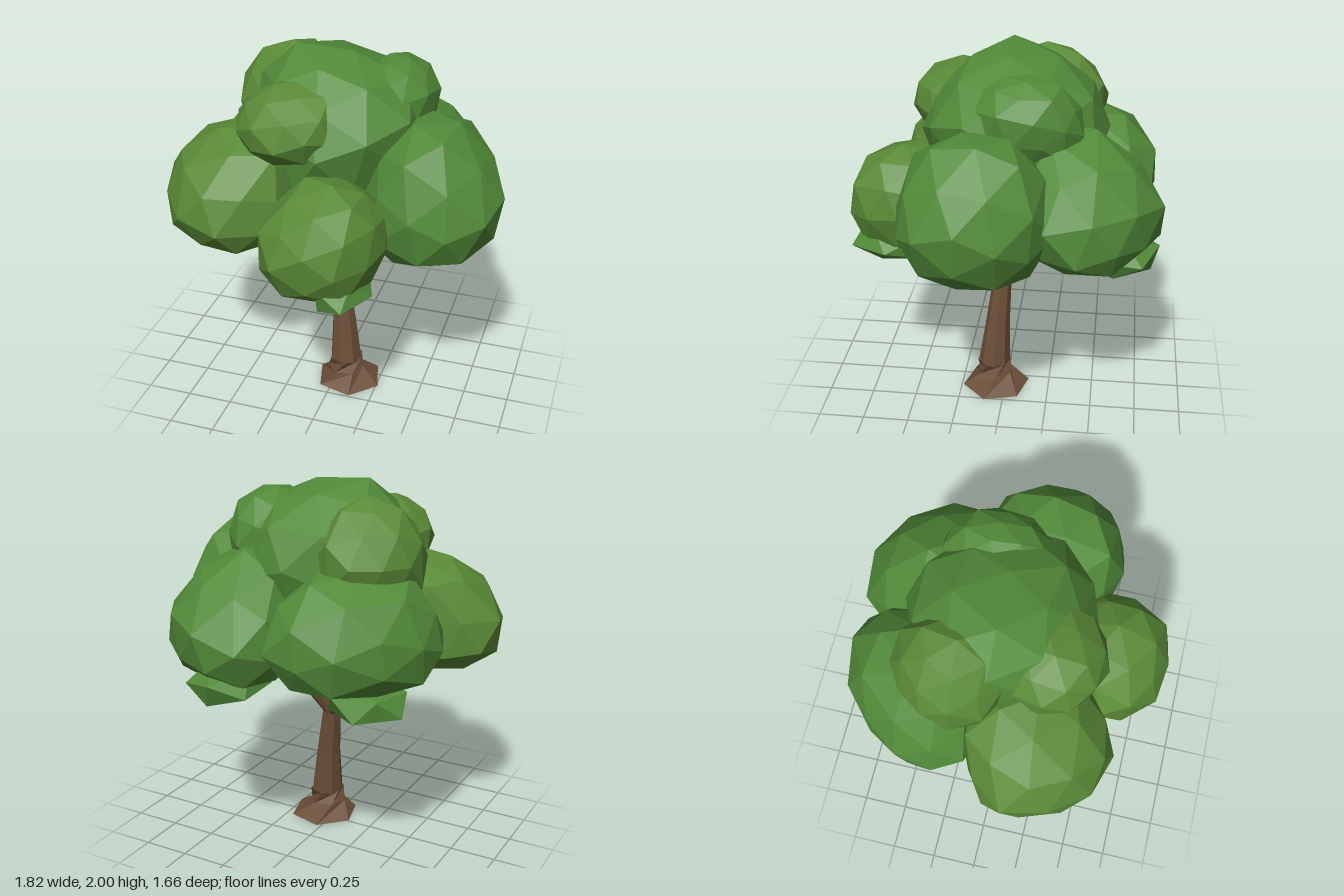
import * as THREE from 'three';

const mat = (color) => new THREE.MeshStandardMaterial({ color, flatShading: true });
const bark = mat(0x6b4e38);
const leaf = mat(0x528a39);
const leafWarm = mat(0x5a8a37);

// Repeatable noise from a vertex position, so shared corners move together
function noise(x, y, z, seed) {
  const s = Math.sin(x * 12.99 + y * 78.23 + z * 37.72 + seed * 17.13) * 4375.85;
  return s - Math.floor(s);
}

// Faceted foliage lump filling a box. "belly" is the height of its widest part,
// "peak" is where its top leans to, "depth" flattens it along the line to the trunk.
function clump(name, material, seed, { box, belly, peak, depth = 1, detail = 1 }) {
  const [x0, x1, y0, y1, z0, z1] = box;
  const cx = (x0 + x1) / 2, cz = (z0 + z1) / 2;
  const g = new THREE.IcosahedronGeometry(1, detail);
  g.rotateY(seed * 1.3);
  g.rotateX(seed * 0.7);
  const p = g.attributes.position;
  const v = new THREE.Vector3();
  const out = new THREE.Vector3(cx, 0, cz).normalize();
  for (let i = 0; i < p.count; i++) {
    v.fromBufferAttribute(p, i);
    const r = (k) => Math.round(v.getComponent(k) * 100) / 100 + 0;
    v.multiplyScalar(0.92 + 0.12 * noise(r(0), r(1), r(2), seed));
    if (v.y < -0.6) v.y = -0.6 + (v.y + 0.6) * 0.3;
    v.addScaledVector(out, (depth - 1) * v.dot(out));
    p.setXYZ(i, v.x, v.y, v.z);
  }
  g.computeBoundingBox();
  const { min, max } = g.boundingBox;
  for (let i = 0; i < p.count; i++) {
    v.fromBufferAttribute(p, i);
    const up = v.y > 0 ? v.y / max.y : 0;
    const x = THREE.MathUtils.mapLinear(v.x, min.x, max.x, x0, x1) + (peak[0] - cx) * up * up;
    const z = THREE.MathUtils.mapLinear(v.z, min.z, max.z, z0, z1) + (peak[1] - cz) * up * up;
    const y = v.y > 0 ? belly + (y1 - belly) * up : belly - (belly - y0) * (v.y / min.y);
    p.setXYZ(i, x, y, z);
  }
  g.computeVertexNormals();
  const mesh = new THREE.Mesh(g, material);
  mesh.name = name;
  return mesh;
}

// Closed wooden limb through rings of [x, y, z, radius, twist], bottom to top
function limb(name, sides, rings) {
  const n = rings.length - 1;
  const g = new THREE.CylinderGeometry(1, 1, 1, sides, n);
  const p = g.attributes.position;
  for (let i = 0; i < p.count; i++) {
    const [cx, cy, cz, r, twist = 0] = rings[Math.round((p.getY(i) + 0.5) * n)];
    const x = p.getX(i), z = p.getZ(i);
    const c = Math.cos(twist) * r, s = Math.sin(twist) * r;
    p.setXYZ(i, cx + x * c + z * s, cy, cz - x * s + z * c);
  }
  g.computeVertexNormals();
  const mesh = new THREE.Mesh(g, bark);
  mesh.name = name;
  return mesh;
}

export function createModel() {
  const tree = new THREE.Group();
  tree.name = 'tree';

  // Twisted root flare and leaning trunk
  tree.add(limb('rootFlare', 6, [
    [0.075, 0, 0.055, 0.192, 0.26],
    [0.055, 0.08, 0.065, 0.1, 0.7],
    [0.06, 0.155, 0.065, 0.097, 1.2],
  ]));
  tree.add(limb('trunk', 8, [
    [0.06, 0.15, 0.065, 0.09],
    [0.042, 0.4, 0.047, 0.068],
    [0.005, 0.7, 0.022, 0.05],
    [0, 0.78, 0.015, 0.032],
  ]));

  // Branches spreading into the main clumps
  const branches = new THREE.Group();
  branches.name = 'branches';
  const tips = [[-0.33, 0.15], [0.06, 0.32], [0.3, 0.08], [0.2, -0.28], [-0.23, -0.27], [-0.02, 0.0]];
  for (const [x, z] of tips) {
    branches.add(limb('branch', 6, [
      [x * 0.04, 0.66, 0.02 + z * 0.04, 0.036],
      [x * 0.45, 0.85, 0.012 + z * 0.45, 0.028],
      [x, 1.12, z, 0.02],
    ]));
  }
  tree.add(branches);

  // Foliage boxes: x0 x1 y0 y1 z0 z1
  const foliage = new THREE.Group();
  foliage.name = 'foliage';
  [
    ['sideClumpRight', leafWarm, { box: [-0.91, -0.13, 1.0, 1.62, -0.12, 0.65], belly: 1.22, peak: [-0.43, 0.17], depth: 0.85 }],
    ['frontClump', leafWarm, { box: [-0.27, 0.4, 0.91, 1.5, 0.18, 0.83], belly: 1.18, peak: [0.12, 0.47] }],
    ['sideClumpLeft', leaf, { box: [0.16, 0.91, 0.98, 1.71, -0.3, 0.5], belly: 1.28, peak: [0.5, 0.08] }],
    ['backClumpLeft', leaf, { box: [-0.05, 0.71, 1.0, 1.67, -0.84, -0.1], belly: 1.22, peak: [0.26, -0.36], depth: 0.85 }],
    ['backClumpRight', leaf, { box: [-0.76, 0.05, 1.03, 1.63, -0.8, -0.05], belly: 1.26, peak: [-0.32, -0.34], depth: 0.7 }],
    ['crownClump', leaf, { box: [-0.46, 0.45, 1.2, 2.0, -0.54, 0.45], belly: 1.58, peak: [-0.06, -0.04] }],
    ['upperFrontClump', leafWarm, { box: [-0.46, 0.11, 1.49, 1.88, -0.04, 0.53], belly: 1.66, peak: [-0.16, 0.22] }],
    ['upperLeftClump', leaf, { box: [0.07, 0.49, 1.52, 1.94, -0.42, 0.14], belly: 1.7, peak: [0.29, -0.11] }],
    ['upperBackClump', leafWarm, { box: [-0.61, -0.06, 1.36, 1.95, -0.52, 0.09], belly: 1.64, peak: [-0.31, -0.19] }],
    // Small tufts hanging under the canopy
    ['lowerTuftFront', leaf, { box: [0.05, 0.36, 0.88, 1.08, 0.36, 0.81], belly: 0.97, peak: [0.2, 0.58], detail: 0 }],
    ['lowerTuftBack', leaf, { box: [0.08, 0.45, 0.91, 1.12, -0.83, -0.4], belly: 1.0, peak: [0.26, -0.6], detail: 0 }],
    ['lowerTuftSide', leaf, { box: [-0.64, -0.2, 0.87, 1.08, -0.6, -0.22], belly: 0.96, peak: [-0.42, -0.4], detail: 0 }],
  ].forEach(([name, material, shape], i) => foliage.add(clump(name, material, i + 1, shape)));
  tree.add(foliage);

  return tree;
}
